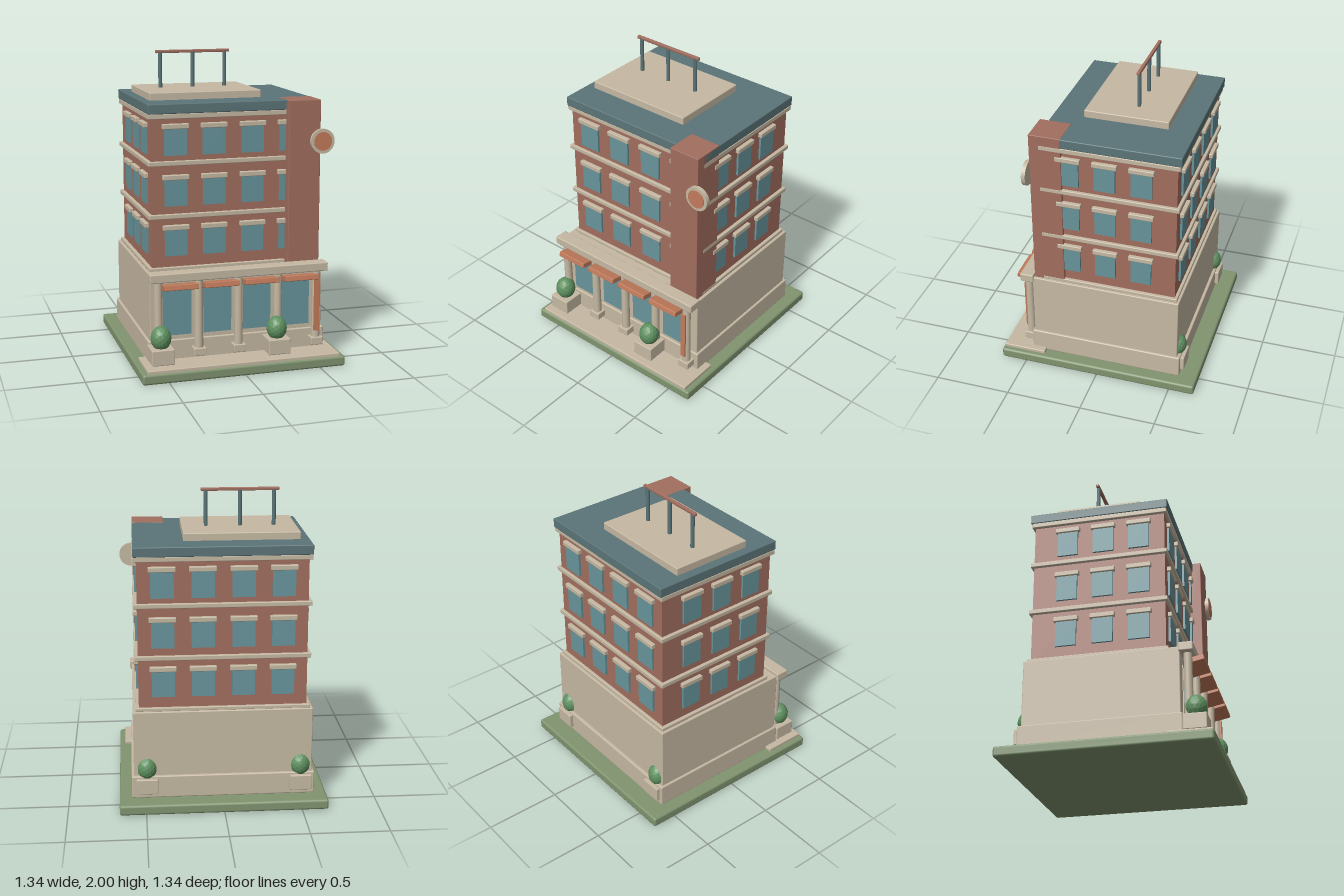
import * as THREE from 'three';
import { RoundedBoxGeometry } from 'three/addons/geometries/RoundedBoxGeometry.js';

const mat = (name, color) => new THREE.MeshStandardMaterial({ name, color });

export function createModel() {
  const stone = mat('stone', 0xc6b9a3);
  const brick = mat('brick', 0xa26f5f);
  const slate = mat('slate', 0x5b7578);
  const glass = mat('glass', 0x68959c);
  const terracotta = mat('terracotta', 0xc27b5b);
  const grass = mat('grass', 0x80946f);
  const leaf = mat('leaf', 0x5f9160);
  leaf.flatShading = true;

  const model = new THREE.Group();
  model.name = 'cornerBuilding';

  const add = (name, geometry, material, x, y, z, parent = model) => {
    const mesh = new THREE.Mesh(geometry, material);
    mesh.name = name;
    mesh.position.set(x, y, z);
    parent.add(mesh);
    return mesh;
  };
  // Box given by its extents; a positive radius softens the edges
  const box = (name, material, x0, x1, y0, y1, z0, z1, r = 0, parent = model) => {
    const s = [x1 - x0, y1 - y0, z1 - z0];
    const geometry = r ? new RoundedBoxGeometry(...s, 2, r) : new THREE.BoxGeometry(...s);
    return add(name, geometry, material, (x0 + x1) / 2, (y0 + y1) / 2, (z0 + z1) / 2, parent);
  };

  // Ground
  box('lawn', grass, -0.67, 0.67, 0, 0.067, -0.67, 0.67, 0.015);
  box('paving', stone, -0.635, 0.635, 0.06, 0.088, 0.375, 0.66, 0.006);

  // Ground floor
  box('plinth', stone, -0.59, 0.59, 0.067, 0.215, -0.55, 0.472, 0.008);
  box('groundFloor', stone, -0.575, 0.575, 0.2, 0.645, -0.53, 0.46, 0.006);
  box('shopCornice', stone, -0.59, 0.587, 0.61, 0.667, 0.452, 0.543, 0.007);

  // Upper floors
  const [left, right, back, front] = [-0.535, 0.535, -0.495, 0.37];
  box('upperFloors', brick, left, right, 0.64, 1.65, back, front);
  for (const [y0, y1] of [[0.643, 0.667], [0.98, 1.01], [1.318, 1.348], [1.613, 1.646]]) {
    box('floorBand', stone, -0.557, 0.557, y0, y1, -0.514, 0.388, 0.005);
  }
  box('roof', slate, -0.558, 0.556, 1.645, 1.708, -0.523, 0.394, 0.006);
  box('cornerPier', brick, 0.344, 0.556, 0.643, 1.71, 0.243, 0.45, 0.004);

  // Window with lintel, facing +z before its wall's turn
  const addWindow = (x, y, z, turn, width) => {
    const unit = new THREE.Group();
    unit.name = 'window';
    unit.position.set(x, y, z);
    unit.rotation.y = turn;
    box('windowPane', glass, -width / 2, width / 2, -0.085, 0.085, -0.005, 0.014, 0, unit);
    box('lintel', stone, -width / 2 - 0.013, width / 2 + 0.013, 0.083, 0.115, -0.005, 0.026, 0.005, unit);
    model.add(unit);
  };
  for (let floor = 0; floor < 3; floor++) {
    const y = 0.824 + floor * 0.3215;
    for (const x of [-0.38, -0.13, 0.125, 0.378]) {
      addWindow(x, y, front, 0, 0.145);
      addWindow(x, y, back, Math.PI, 0.145);
    }
    for (const z of [-0.27, -0.034, 0.202]) {
      addWindow(right, y, z, Math.PI / 2, 0.135);
      addWindow(left, y, z, -Math.PI / 2, 0.135);
    }
  }

  // Shop front: windows, awnings and columns
  for (let i = 0; i < 4; i++) {
    const x = -0.4 + i * 0.264;
    box('shopWindowFrame', stone, x - 0.1, x + 0.1, 0.235, 0.552, 0.455, 0.466);
    box('shopWindow', glass, x - 0.092, x + 0.092, 0.246, 0.542, 0.46, 0.474);
    const awning = add('awning', new RoundedBoxGeometry(0.222, 0.036, 0.12, 2, 0.005), terracotta, x, 0.58, 0.538);
    awning.rotation.x = -0.2;
  }
  for (let i = 0; i < 5; i++) {
    const x = -0.53 + i * 0.263;
    add('column', new THREE.CylinderGeometry(0.026, 0.028, 0.46, 16), stone, x, 0.39, 0.502);
    box('columnBase', stone, x - 0.041, x + 0.041, 0.115, 0.165, 0.462, 0.541, 0.005);
  }
  box('hangingBanner', terracotta, 0.5, 0.535, 0.21, 0.56, 0.523, 0.536);

  // Planters, two in front and two at the back
  for (const [x, z] of [[-0.525, 0.545], [0.24, 0.545], [-0.5, -0.505], [0.49, -0.505]]) {
    const d = z > 0 ? 0.073 : 0.07;
    box('planter', stone, x - d, x + d, 0.1, 0.2, z - d, z + d, 0.006);
    const bush = add('bush', new THREE.IcosahedronGeometry(1, 2), leaf, x, 0.258, z);
    bush.scale.set(0.066, 0.079, 0.068);
  }

  // Round sign on the pier
  const rim = add('signRim', new THREE.CylinderGeometry(0.08, 0.08, 0.026, 32), stone, 0.564, 1.445, 0.46);
  const face = add('signFace', new THREE.CylinderGeometry(0.06, 0.06, 0.03, 32), terracotta, 0.564, 1.445, 0.463);
  rim.rotation.x = face.rotation.x = Math.PI / 2;

  // Roof deck and rail
  box('roofDeck', stone, -0.5, 0.238, 1.7, 1.756, -0.353, 0.196, 0.006);
  for (const x of [-0.356, -0.137, 0.082]) {
    add('railPost', new THREE.CylinderGeometry(0.013, 0.013, 0.24, 10), slate, x, 1.868, -0.117);
  }
  box('topRail', brick, -0.388, 0.114, 1.98, 2, -0.128, -0.107, 0.004);

  return model;
}
